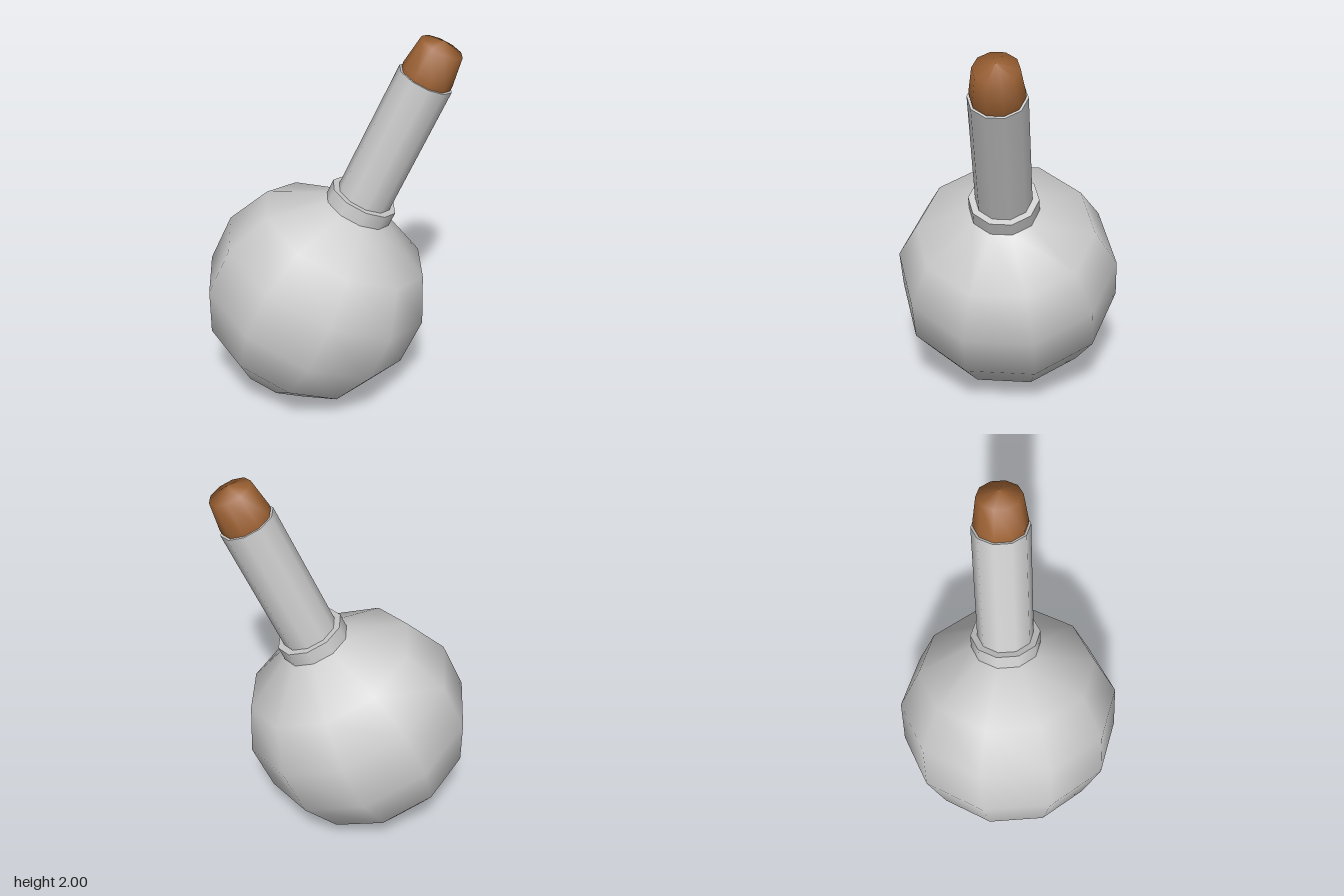
import * as THREE from 'three';

const SIDES = 10;

// Surface of revolution about the flask axis; profile is [radius, height], bottom to top
function turned(name, profile, color = 0xcccccc) {
  const geometry = new THREE.LatheGeometry(profile.map(([r, y]) => new THREE.Vector2(r, y)), SIDES);
  const mesh = new THREE.Mesh(geometry, new THREE.MeshStandardMaterial({ color }));
  mesh.name = name;
  return mesh;
}

export function createModel() {
  const model = new THREE.Group();
  model.name = 'tiltedFlask';

  // Round bulb: seven-step sphere whose top ring is drawn in to the collar
  const radius = 0.59, steps = 7, collarRadius = 0.18;
  const bulbProfile = [];
  for (let i = 0; i < steps - 1; i++) {
    const a = (i / steps) * Math.PI;
    bulbProfile.push([radius * Math.sin(a), -radius * Math.cos(a)]);
  }
  const collarBase = radius * Math.cos(Math.PI / steps);
  bulbProfile.push([collarRadius, collarBase]);

  // Flask parts share one axis, with the bulb centre as origin
  const flask = new THREE.Group();
  flask.name = 'flask';
  flask.add(
    turned('bulb', bulbProfile),
    turned('collar', [[collarRadius, collarBase], [collarRadius, 0.609]]),
    turned('collarTop', [[collarRadius, 0.609], [0.14, 0.609]]),
    turned('neck', [[0.145, 0.6], [0.145, 1.322]]),
    turned('neckRim', [[0.145, 1.322], [0, 1.322]]),
    // Tapered stopper with a shallow pointed top
    turned('stopper', [[0.13, 1.3], [0.135, 1.345], [0.113, 1.503], [0, 1.535]], 0x9a6033),
  );

  // Lean the flask towards its left
  flask.position.set(-0.085, 0.585, 0);
  flask.rotation.z = THREE.MathUtils.degToRad(-24.3);
  model.add(flask);
  return model;
}
